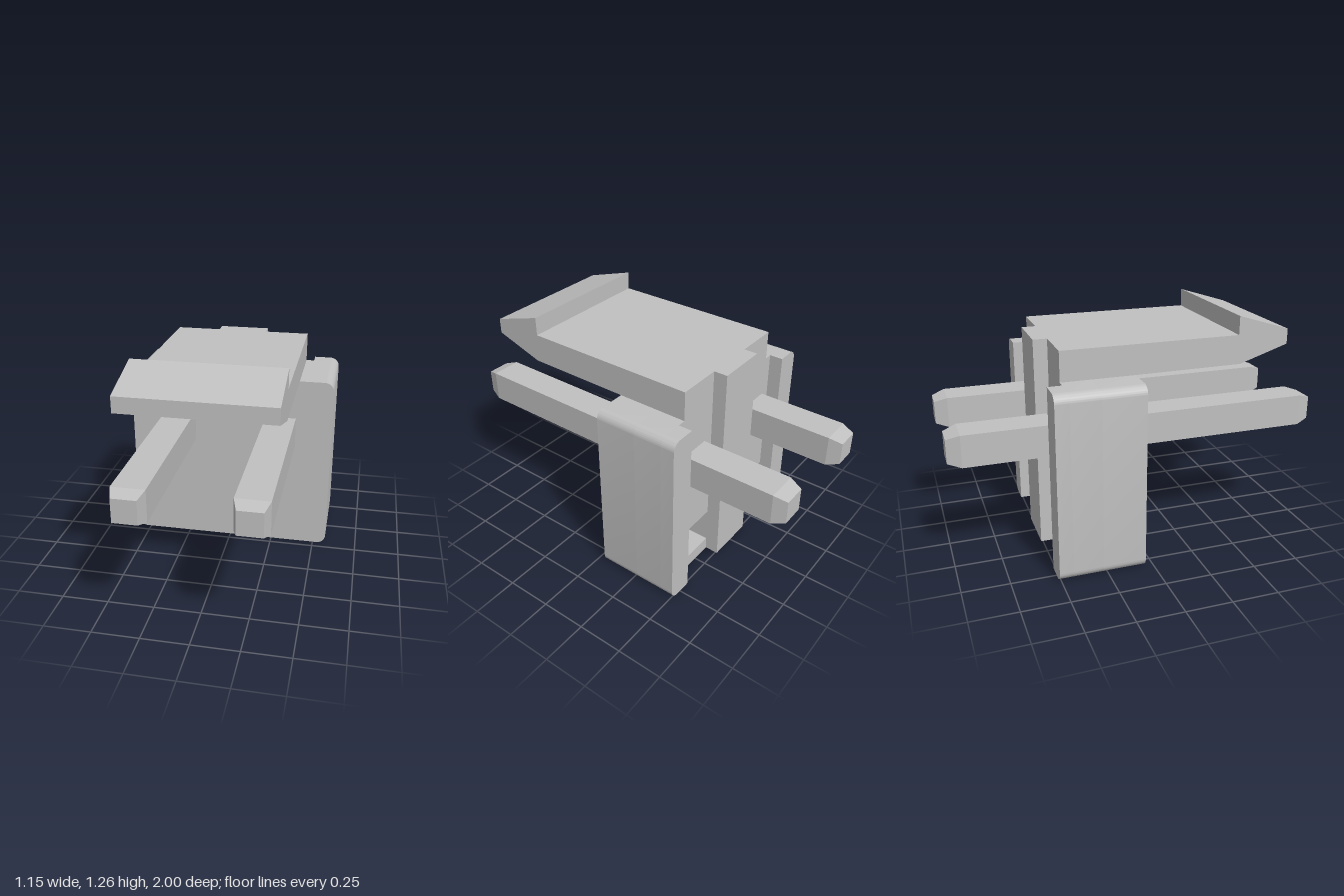
import * as THREE from 'three';
import { toCreasedNormals } from 'three/addons/utils/BufferGeometryUtils.js';

const W = 0.573, H = 1.005, R = 0.05;      // housing half width, height, corner radius
const RIB = 0.14, CH = 0.43;               // inner and outer edge of the rear channels
const FRONT = -0.045, POCKET = -0.275, FLOOR = -0.435, BACK = -0.51;

// Rectangle with separate corner radii on its left and right sides
function rectShape(x0, x1, y0, y1, rl = 0, rr = 0) {
  const s = new THREE.Shape();
  s.moveTo(x0 + rl, y0);
  s.lineTo(x1 - rr, y0);
  if (rr) s.absarc(x1 - rr, y0 + rr, rr, -Math.PI / 2, 0);
  s.lineTo(x1, y1 - rr);
  if (rr) s.absarc(x1 - rr, y1 - rr, rr, 0, Math.PI / 2);
  s.lineTo(x0 + rl, y1);
  if (rl) s.absarc(x0 + rl, y1 - rl, rl, Math.PI / 2, Math.PI);
  s.lineTo(x0, y0 + rl);
  if (rl) s.absarc(x0 + rl, y0 + rl, rl, Math.PI, Math.PI * 1.5);
  return s;
}

function extrude(shape, z0, z1) {
  const g = new THREE.ExtrudeGeometry(shape, { depth: z1 - z0, bevelEnabled: false, curveSegments: 8 });
  g.translate(0, 0, z0);
  return toCreasedNormals(g, Math.PI / 6);
}

// Square pin with tapered ends
function pinGeometry() {
  const g = new THREE.BoxGeometry(0.17, 0.17, 2, 1, 1, 3);
  const p = g.attributes.position;
  for (let i = 0; i < p.count; i++) {
    const z = p.getZ(i);
    if (Math.abs(z) > 0.9) p.setXY(i, p.getX(i) * 0.74, p.getY(i) * 0.74);
    else p.setZ(i, Math.sign(z) * 0.93);
  }
  const flat = g.toNonIndexed();
  flat.computeVertexNormals();
  return flat;
}

export function createModel() {
  const model = new THREE.Group();
  model.name = 'pinHeader';
  const grey = new THREE.MeshStandardMaterial({ color: 0xc0c0c0 });
  grey.name = 'grey';
  const add = (name, geometry, x = 0, y = 0, z = 0) => {
    const m = new THREE.Mesh(geometry, grey);
    m.name = name;
    m.position.set(x, y, z);
    model.add(m);
  };

  // Housing: solid front and a layer with two rear pockets
  add('housingFront', extrude(rectShape(-W, W, 0, H, R, R), POCKET, FRONT));
  const pocketed = rectShape(-W, W, 0, H, R, R);
  for (const [a, b] of [[-CH, -RIB], [RIB, CH]]) pocketed.holes.push(rectShape(a, b, 0.07, 0.27));
  add('housingPockets', extrude(pocketed, FLOOR, POCKET));

  // Raised rear strips that leave the channels between them
  add('rightRearStrip', extrude(rectShape(-W, -CH, 0, H, R, 0), BACK, FLOOR));
  add('leftRearStrip', extrude(rectShape(CH, W, 0, H, 0, R), BACK, FLOOR));
  add('centreRib', extrude(rectShape(-RIB, RIB, 0, 1.165), BACK, FLOOR));

  // Latch arm with hooked tip: side profile as (-z, y), extruded across x
  const profile = [[0.435, H], [0.435, 1.165], [-0.525, 1.165], [-0.525, 1.265],
    [-0.81, 1.177], [-0.81, 1.095], [-0.54, 1.008], [0.045, H]];
  const latch = new THREE.Shape(profile.map(([z, y]) => new THREE.Vector2(z, y)));
  add('latchArm', extrude(latch, -0.385, 0.385).rotateY(Math.PI / 2));

  // Contact pins
  add('rightPin', pinGeometry(), -0.287, 0.7);
  add('leftPin', pinGeometry(), 0.287, 0.7);
  return model;
}
